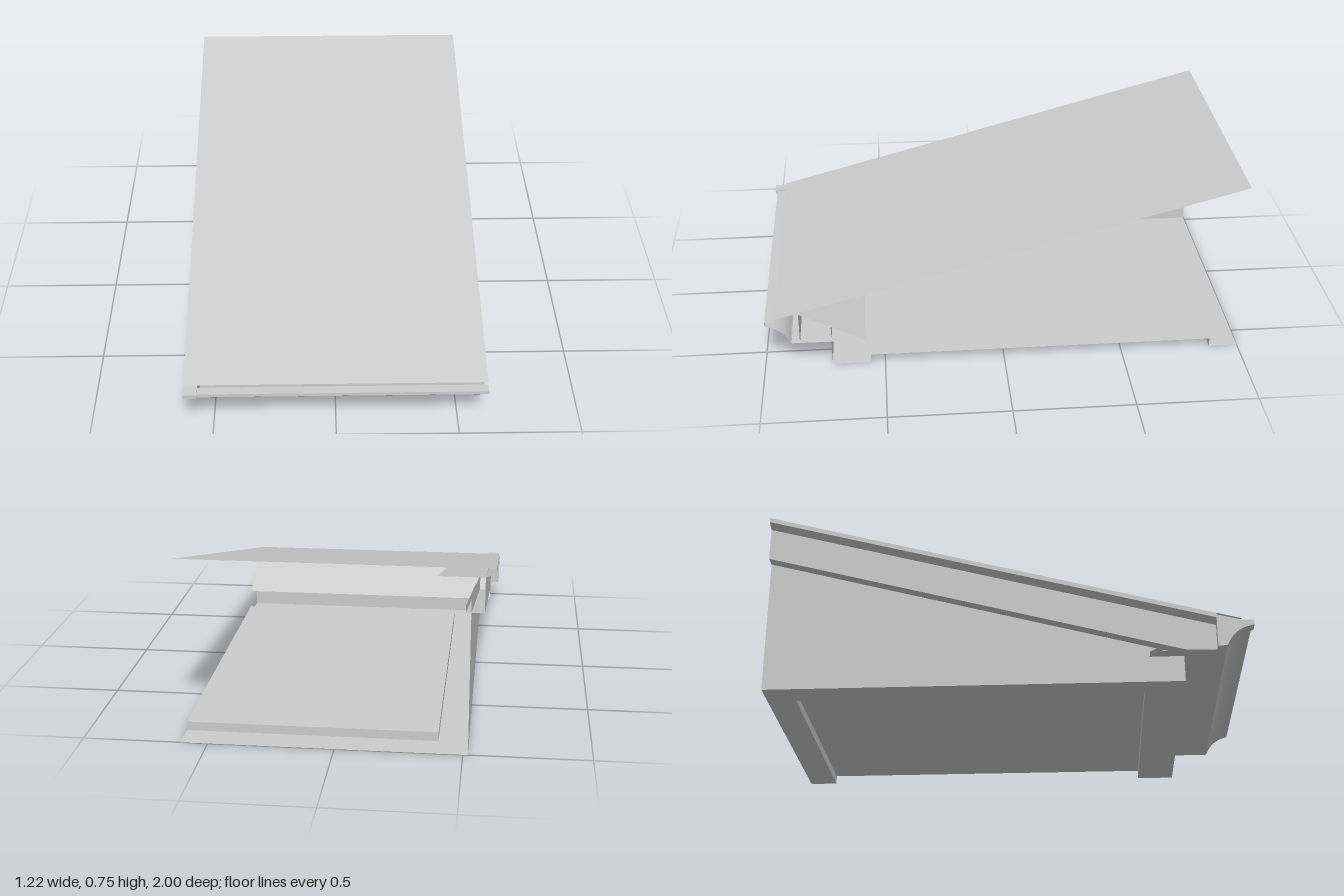
import * as THREE from 'three';

const material = new THREE.MeshStandardMaterial({ color: 0xcccccc, side: THREE.DoubleSide });
const roofY = (z) => 0.486 - 0.269 * z;

// Sheet joining two matching polylines; each segment gets its own corners for crisp folds.
function strip(name, start, end) {
  const pos = [];
  for (let i = 0; i < start.length - 1; i++) {
    const [a, b, c, d] = [start[i], start[i + 1], end[i + 1], end[i]];
    pos.push(...a, ...b, ...c, ...a, ...c, ...d);
  }
  const g = new THREE.BufferGeometry();
  g.setAttribute('position', new THREE.Float32BufferAttribute(pos, 3));
  g.computeVertexNormals();
  const m = new THREE.Mesh(g, material);
  m.name = name;
  return m;
}

// Folded sheet with a (z, y) profile running along x.
const alongX = (name, profile, x0, x1) =>
  strip(name, profile.map(([z, y]) => [x0, y, z]), profile.map(([z, y]) => [x1, y, z]));

// Folded sheet with an (x, drop below roof) profile running up the roof slope.
const alongSlope = (name, profile, z0, z1) =>
  strip(name, profile.map(([x, d]) => [x, roofY(z0) - d, z0]), profile.map(([x, d]) => [x, roofY(z1) - d, z1]));

// Flat panel or thick piece with a (z, y) outline, starting at x and reaching to x + depth.
function sidePiece(name, outline, x, depth = 0) {
  const shape = new THREE.Shape(outline.map(([z, y]) => new THREE.Vector2(-z, y)));
  const g = depth
    ? new THREE.ExtrudeGeometry(shape, { depth, bevelEnabled: false })
    : new THREE.ShapeGeometry(shape);
  g.rotateY(Math.PI / 2);
  g.translate(x, 0, 0);
  const m = new THREE.Mesh(g, material);
  m.name = name;
  return m;
}

export function createModel() {
  const model = new THREE.Group();
  const right = 0.61;

  // Sloping roof sheet
  model.add(alongSlope('roof', [[-0.61, 0], [right, 0]], 0.95, -1));

  // Walls: low front wall and tapering side wall
  model.add(alongX('frontWall', [[0.72, 0], [0.72, 0.18]], -0.52, right));
  model.add(sidePiece('sideWall', [
    [0.72, 0], [0.72, 0.19], [-1, 0.655], [-1, 0],
  ], -0.52));

  // Floor with a raised centre panel, open at the cut side
  model.add(alongX('floor', [
    [0.72, 0], [0.56, 0], [0.56, 0.037], [-0.88, 0.037], [-0.88, 0], [-1, 0],
  ], -0.4, right));
  model.add(alongX('floorSideRim', [[0.72, 0], [-1, 0]], -0.52, -0.4));
  model.add(sidePiece('floorSideStep', [
    [0.56, 0], [0.56, 0.037], [-0.88, 0.037], [-0.88, 0],
  ], -0.4));

  // Eave moulding with a coved face
  const cove = new THREE.QuadraticBezierCurve(
    new THREE.Vector2(0.985, 0.198), new THREE.Vector2(0.92, 0.185), new THREE.Vector2(0.89, 0.118),
  ).getPoints(10).map((p) => [p.x, p.y]);
  const face = [[0.95, 0.218], [0.99, 0.218], [0.99, 0.203], ...cove, [0.885, 0.112]];
  model.add(alongX('eaveMoulding', [...face, [0.85, 0.112]], -0.555, right));

  // Triangular box behind the moulding
  model.add(alongX('eaveBox', [
    [0.85, 0.112], [0.58, 0.11], [0.85, 0.25], [0.85, 0.112],
  ], -0.57, right));

  // Corner return of the moulding
  model.add(sidePiece('eaveReturn', [
    [0.85, 0.25], [0.95, 0.225], [1, 0.222], [1, 0.203], ...cove, [0.885, 0.112], [0.85, 0.112],
  ], -0.61, 0.055));

  // Rake trim: flange under the roof, fascia board and soffit with a lip
  model.add(alongSlope('rakeFlange', [[-0.61, 0], [-0.61, 0.02], [-0.57, 0.035], [-0.39, 0.035]], 0.85, -1));
  model.add(sidePiece('rakeFascia', [
    [0.85, roofY(0.85) - 0.02], [0.85, 0.112], [0.72, 0.117], [-1, 0.58], [-1, 0.72],
  ], -0.57));
  model.add(alongSlope('rakeSoffit', [[-0.57, 0.175], [-0.5, 0.175], [-0.5, 0.145]], 0.72, -1));

  return model;
}
